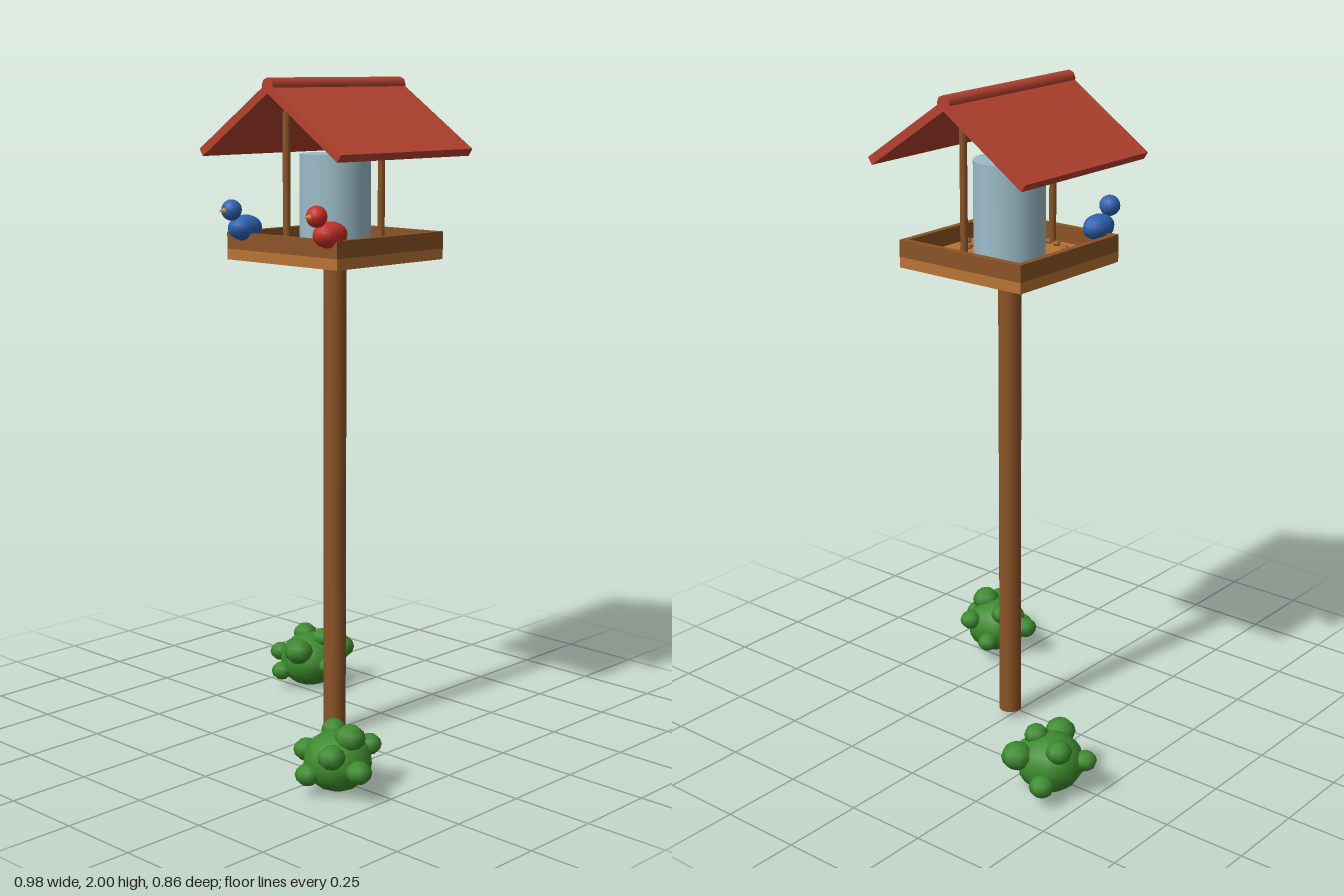
import * as THREE from 'three';

const mat = (name, color, side = THREE.FrontSide) => {
  const m = new THREE.MeshStandardMaterial({ color, side });
  m.name = name;
  return m;
};

export function createModel() {
  const model = new THREE.Group();
  model.name = 'birdFeeder';
  const wood = mat('dark wood', 0x8b5426);
  const lightWood = mat('light wood', 0xb87436);
  const roofRed = mat('roof red', 0xb5422f);
  const glass = mat('pale blue glass', 0x9cbcc8);
  const leaf = mat('leaf green', 0x3c8a2e);
  const blue = mat('blue feathers', 0x2f62b0);
  const red = mat('red feathers', 0xc62f28);
  const beakMat = mat('beak ochre', 0xd79a2a);
  const seedMat = mat('seed brown', 0x946030);

  const add = (parent, name, geo, material, x, y, z) => {
    const mesh = new THREE.Mesh(geo, material);
    mesh.name = name;
    mesh.position.set(x, y, z);
    parent.add(mesh);
    return mesh;
  };

  // Feeder, centred on its own post
  const feeder = new THREE.Group();
  feeder.name = 'feeder';
  feeder.position.set(0.008, 0, -0.031);
  model.add(feeder);

  add(feeder, 'post', new THREE.CylinderGeometry(0.034, 0.034, 1.446, 16), wood, 0, 0.747, 0);
  add(feeder, 'trayFloor', new THREE.BoxGeometry(0.45, 0.032, 0.45), lightWood, 0, 1.486, 0);
  for (const s of [-1, 1]) {
    add(feeder, 'trayRim', new THREE.BoxGeometry(0.45, 0.05, 0.02), wood, 0, 1.527, s * 0.215);
    add(feeder, 'trayRim', new THREE.BoxGeometry(0.02, 0.05, 0.41), wood, s * 0.215, 1.527, 0);
    add(feeder, 'roofPost', new THREE.CylinderGeometry(0.011, 0.011, 0.405, 10), wood, 0, 1.7025, s * 0.2);
  }
  add(feeder, 'seedHopper', new THREE.CylinderGeometry(0.105, 0.105, 0.28, 24), glass, 0, 1.64, 0);

  // Seeds scattered around the hopper
  const seedGeo = new THREE.SphereGeometry(0.012, 6, 5);
  for (let i = 0; i < 22; i++) {
    const a = i * 2.4;
    const r = 0.135 + 0.05 * ((i * 0.618) % 1);
    const seed = add(feeder, 'seed', seedGeo, seedMat, Math.cos(a) * r, 1.507, Math.sin(a) * r);
    seed.scale.y = 0.8;
  }

  // Pitched roof with a ridge pole
  const dx = 0.28, dy = 0.188, length = Math.hypot(dx, dy);
  for (const s of [-1, 1]) {
    const panel = add(feeder, 'roofPanel', new THREE.BoxGeometry(length, 0.025, 0.555), roofRed,
      s * dx / 2, 1.971 - dy / 2, -0.003);
    panel.rotation.z = -s * Math.atan2(dy, dx);
  }
  add(feeder, 'roofRidge', new THREE.CylinderGeometry(0.023, 0.023, 0.555, 8), roofRed,
    0, 1.977, -0.003).rotation.x = Math.PI / 2;

  // Birds perched on the front rim
  const addBird = (name, feathers, x) => {
    const bird = new THREE.Group();
    bird.name = name;
    bird.position.set(x, 1.567, 0.183);
    model.add(bird);
    const body = add(bird, 'body', new THREE.SphereGeometry(0.04, 12, 10), feathers, 0, 0, 0);
    body.scale.set(1, 0.95, 1.45);
    add(bird, 'head', new THREE.SphereGeometry(0.031, 12, 10), feathers, 0, 0.054, 0.053);
    add(bird, 'beak', new THREE.ConeGeometry(0.012, 0.03, 6), beakMat, 0, 0.054, 0.088)
      .rotation.x = Math.PI / 2;
  };
  addBird('blueBird', blue, -0.152);
  addBird('redBird', red, 0.195);

  // Bushes: a large clump with smaller leaf clumps, each [x, y, z, radius]
  const addBush = (name, clumps) => {
    const bush = new THREE.Group();
    bush.name = name;
    model.add(bush);
    clumps.forEach(([x, y, z, r], i) => {
      const geo = i ? new THREE.SphereGeometry(r, 8, 6) : new THREE.SphereGeometry(r, 12, 10);
      add(bush, 'leafClump', geo, leaf, x, y, z).scale.y = 0.87;
    });
  };
  addBush('frontBush', [
    [0.34, 0.09, 0.3, 0.1],
    [0.233, 0.1, 0.32, 0.037], [0.451, 0.09, 0.33, 0.038],
    [0.387, 0.167, 0.299, 0.045], [0.38, 0.125, 0.21, 0.035],
    [0.283, 0.157, 0.257, 0.036], [0.3, 0.07, 0.202, 0.033],
    [0.312, 0.065, 0.393, 0.037], [0.396, 0.135, 0.383, 0.04],
  ]);
  addBush('backBush', [
    [-0.366, 0.09, -0.3, 0.1],
    [-0.41, 0.065, -0.395, 0.038], [-0.31, 0.125, -0.385, 0.047],
    [-0.323, 0.168, -0.312, 0.036], [-0.427, 0.157, -0.338, 0.039],
    [-0.46, 0.105, -0.254, 0.034], [-0.406, 0.06, -0.207, 0.034],
    [-0.335, 0.14, -0.215, 0.047], [-0.267, 0.09, -0.28, 0.032],
  ]);

  return model;
}
